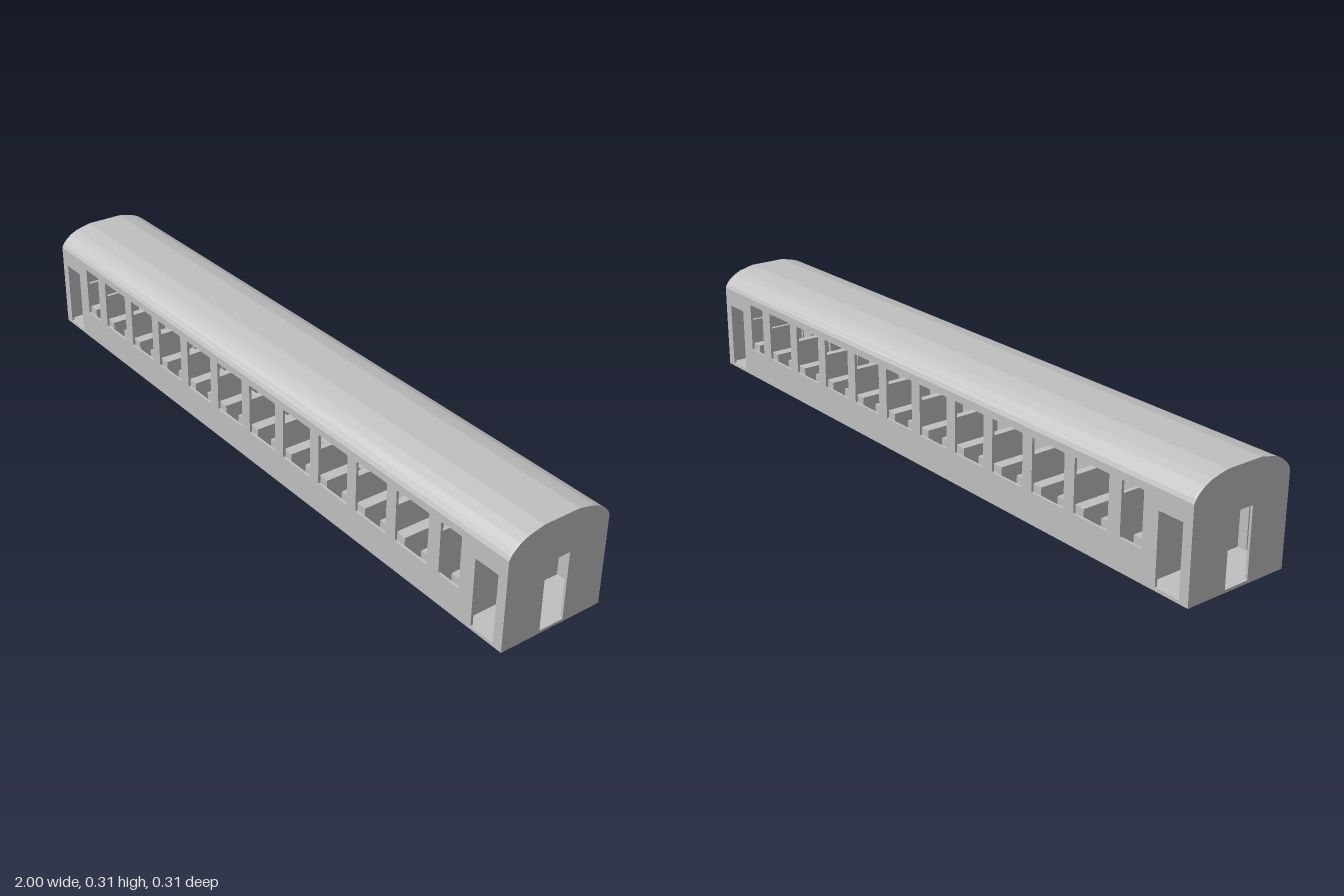
import * as THREE from 'three';

const T = 0.007;            // panel thickness
const HALF_W = 0.153, EAVE = 0.25;
const PITCH = 0.1515;       // spacing of the window bays
const BULKHEAD = 0.868;

// Half of the roof line from eave to crown as [z, y]
const ROOF = [[0.153, 0.25], [0.148, 0.26], [0.139, 0.271], [0.121, 0.285], [0.1, 0.295], [0.076, 0.301], [0.053, 0.306]];

const mirrored = (pts) => [...pts, ...pts.map(([z, y]) => [-z, y]).reverse()];
const toVectors = (pts) => pts.map(([a, b]) => new THREE.Vector2(a, b));

// Rounded rectangular opening
function opening(x0, x1, y0, y1, r = 0.004) {
  const p = new THREE.Path();
  p.moveTo(x0 + r, y0);
  p.lineTo(x1 - r, y0);
  p.quadraticCurveTo(x1, y0, x1, y0 + r);
  p.lineTo(x1, y1 - r);
  p.quadraticCurveTo(x1, y1, x1 - r, y1);
  p.lineTo(x0 + r, y1);
  p.quadraticCurveTo(x0, y1, x0, y1 - r);
  p.lineTo(x0, y0 + r);
  p.quadraticCurveTo(x0, y0, x0 + r, y0);
  return p;
}

function extrude(shape, depth) {
  const g = new THREE.ExtrudeGeometry(shape, { depth, bevelEnabled: false, curveSegments: 3 });
  g.translate(0, 0, -depth / 2);
  return g;
}

export function createModel() {
  const group = new THREE.Group();
  const grey = new THREE.MeshStandardMaterial({ color: 0xc0c0c0 });
  grey.name = 'plain grey';

  function add(name, geometry, x = 0, y = 0, z = 0, parent = group) {
    const mesh = new THREE.Mesh(geometry, grey);
    mesh.name = name;
    mesh.position.set(x, y, z);
    parent.add(mesh);
    return mesh;
  }

  // Floor
  add('floor', new THREE.BoxGeometry(2 - 2 * T, T, 2 * (HALF_W - T)), 0, T / 2, 0);

  // Side walls with doors and windows
  const side = new THREE.Shape(toVectors([[-1 + T, 0], [1 - T, 0], [1 - T, EAVE], [-1 + T, EAVE]]));
  for (let i = 0; i < 10; i++) {
    const x = (i - 4.5) * PITCH;
    side.holes.push(opening(x - 0.058, x + 0.058, 0.086, 0.23));
  }
  for (const s of [-1, 1]) {
    side.holes.push(opening(s * 0.816 - 0.035, s * 0.816 + 0.035, 0.086, 0.23));
    side.holes.push(opening(s * 0.935 - 0.037, s * 0.935 + 0.037, 0.009, 0.198, 0.002));
  }
  const sideGeometry = extrude(side, T);
  add('leftRightWallFront', sideGeometry, 0, 0, HALF_W - T / 2);
  add('leftRightWallBack', sideGeometry, 0, 0, -HALF_W + T / 2);

  // Curved roof shell
  const inner = ROOF.map(([z, y], i) => [z * 0.954, i === 0 ? y : y - T]);
  const roof = new THREE.Shape(toVectors([...mirrored(ROOF), ...mirrored(inner).reverse()]));
  add('roof', extrude(roof, 2 - 2 * T).rotateY(Math.PI / 2));

  // End walls and inner bulkheads, each with a gangway door
  function crossWall(outline, half) {
    const shape = new THREE.Shape(toVectors([[-half, outline === ROOF ? 0 : T], [half, outline === ROOF ? 0 : T], ...mirrored(outline)]));
    shape.holes.push(opening(-0.0365, 0.0365, T + 0.0005, 0.195, 0.002));
    return extrude(shape, T).rotateY(Math.PI / 2);
  }
  const endGeometry = crossWall(ROOF, HALF_W);
  const bulkheadGeometry = crossWall(inner, HALF_W - T);
  for (const s of [-1, 1]) {
    add('endWall', endGeometry, s * (1 - T / 2));
    add('bulkhead', bulkheadGeometry, s * BULKHEAD);
  }

  // Bench: L-shaped section facing +x, running from wall to aisle
  const bench = new THREE.Shape(toVectors([
    [0, T], [0.046, T], [0.046, 0.107], [0.014, 0.107], [0.01, 0.18], [0, 0.18],
  ]));
  const benchGeometry = extrude(bench, 0.106);
  function benchPair(x, facing) {
    for (const z of [-0.093, 0.093]) {
      const seat = add('seat', benchGeometry, x, 0, z);
      if (facing < 0) seat.rotation.y = Math.PI;
    }
  }
  // Back-to-back benches behind the pillars
  for (let k = -5; k <= 5; k++) {
    const x = k * PITCH;
    if (k < 5) benchPair(x, 1);
    if (k > -5) benchPair(x, -1);
  }
  // Benches against the bulkheads
  for (const s of [-1, 1]) benchPair(s * (BULKHEAD - T / 2), -s);

  return group;
}
